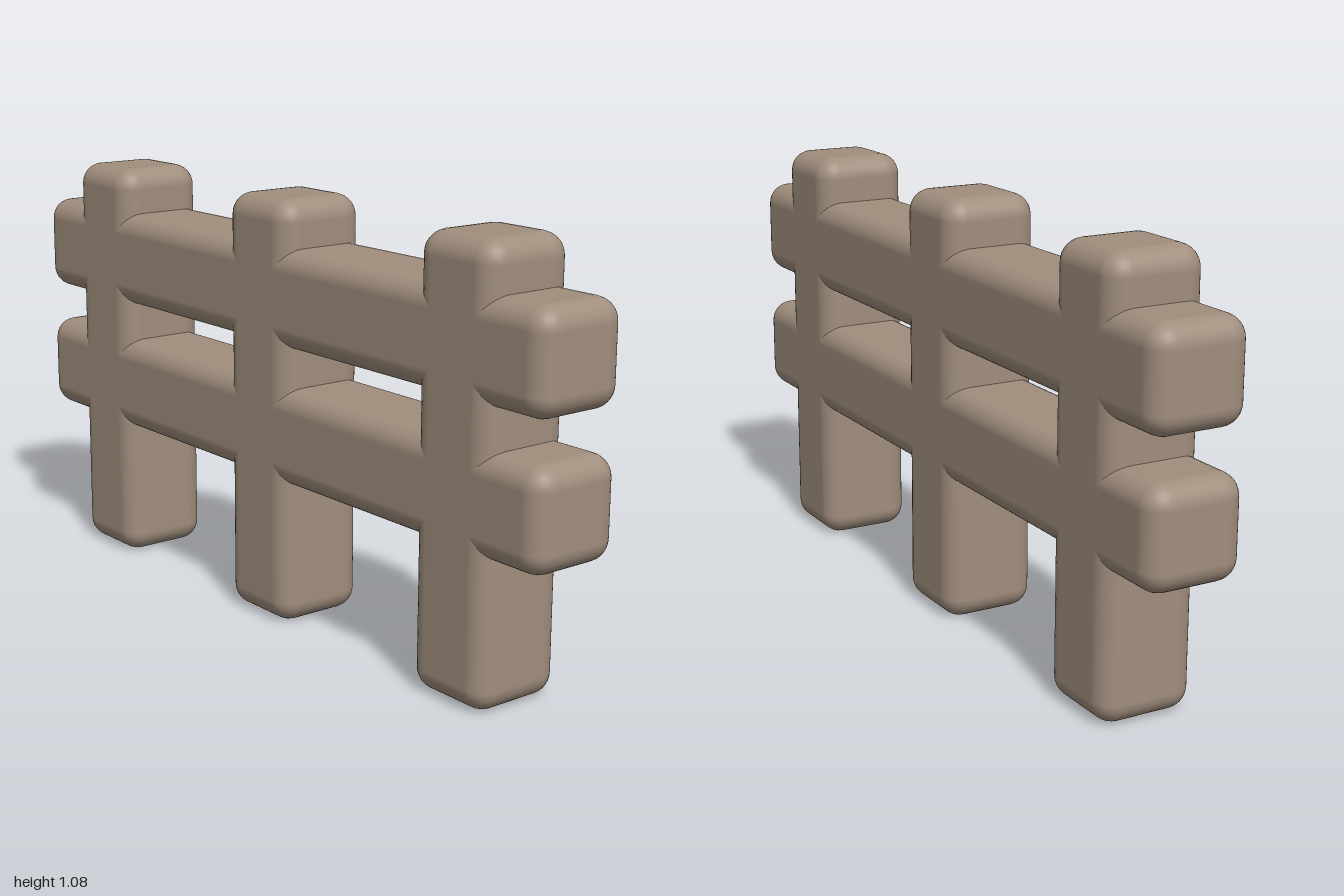
import * as THREE from 'three';
import { RoundedBoxGeometry } from 'three/addons/geometries/RoundedBoxGeometry.js';

const THICK = 0.248;   // square section of every beam
const RADIUS = 0.055;  // rounded edges
const HEIGHT = 1.076;
const LENGTH = 2;

export function createModel() {
  const fence = new THREE.Group();
  fence.name = 'fence';
  const wood = new THREE.MeshStandardMaterial({ color: 0xa08e7d });

  const addBeam = (name, geometry, x, y) => {
    const beam = new THREE.Mesh(geometry, wood);
    beam.name = name;
    beam.position.set(x, y, 0);
    fence.add(beam);
  };

  // Upright posts
  const post = new RoundedBoxGeometry(THICK, HEIGHT, THICK, 4, RADIUS);
  const posts = { rightPost: -0.71, middlePost: -0.003, leftPost: 0.713 };
  for (const [name, x] of Object.entries(posts)) addBeam(name, post, x, HEIGHT / 2);

  // Horizontal rails passing through the posts
  const rail = new RoundedBoxGeometry(LENGTH, THICK, THICK, 4, RADIUS);
  const rails = { lowerRail: 0.489, upperRail: 0.834 };
  for (const [name, y] of Object.entries(rails)) addBeam(name, rail, 0, y);

  return fence;
}
